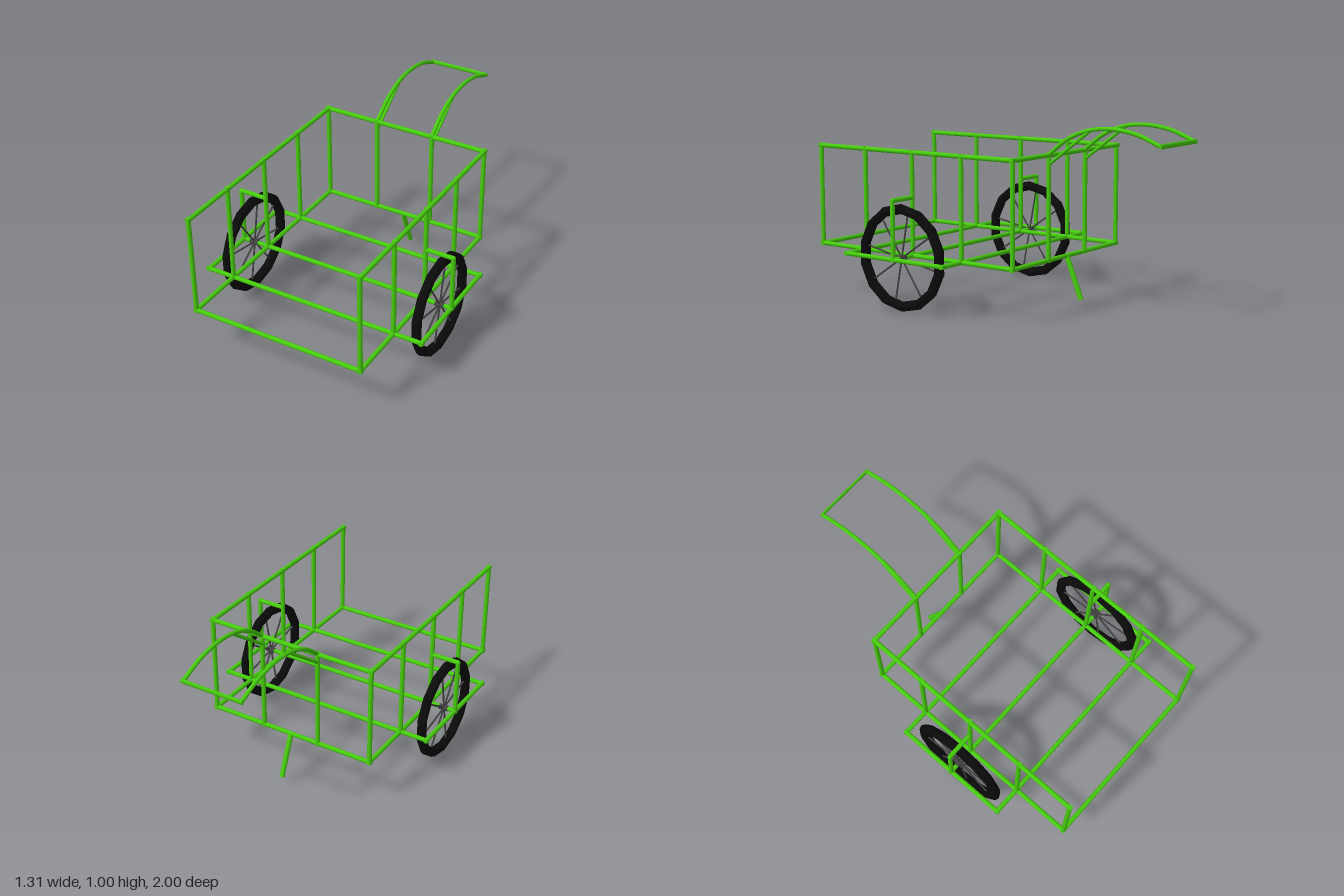
import * as THREE from 'three';

const green = new THREE.MeshStandardMaterial({ color: 0x46cc0e });
const black = new THREE.MeshStandardMaterial({ color: 0x0a0a0a, flatShading: true });
const grey = new THREE.MeshStandardMaterial({ color: 0x444444 });
const R = 0.0125; // frame tube radius

// Straight round bar between two points, lengthened by `extra` at both ends
function bar(parent, name, a, b, { radius = R, extra = R, material = green, sides = 12 } = {}) {
  const p = new THREE.Vector3(...a), q = new THREE.Vector3(...b);
  const dir = q.clone().sub(p);
  const mesh = new THREE.Mesh(
    new THREE.CylinderGeometry(radius, radius, dir.length() + 2 * extra, sides), material);
  mesh.position.copy(p).add(q).multiplyScalar(0.5);
  mesh.quaternion.setFromUnitVectors(new THREE.Vector3(0, 1, 0), dir.normalize());
  mesh.name = name;
  parent.add(mesh);
  return mesh;
}

function createWheel() {
  const wheel = new THREE.Group();
  wheel.name = 'wheel';
  // 14-sided tyre with a corner at the top
  const tyre = new THREE.Mesh(new THREE.TorusGeometry(0.261, 0.027, 8, 14), black);
  tyre.geometry.rotateZ(Math.PI / 2).rotateY(Math.PI / 2);
  tyre.name = 'tyre';
  wheel.add(tyre);
  bar(wheel, 'hub', [-0.025, 0, 0], [0.025, 0, 0], { radius: 0.016, extra: 0, material: grey });
  for (let i = 0; i < 8; i++) {
    const t = THREE.MathUtils.degToRad(34 + i * 45);
    bar(wheel, 'spoke', [0, 0, 0], [0, 0.25 * Math.sin(t), -0.25 * Math.cos(t)],
      { radius: 0.005, extra: 0, material: grey, sides: 6 });
  }
  return wheel;
}

export function createModel() {
  const cart = new THREE.Group();
  cart.name = 'handCart';
  const X = 0.485, OUT = 0.642, LOW = 0.288, TOP = 0.838;
  const FRONT = 0.987, BACK = -0.33, AXLE = 0.327;
  const HX = 0.17;

  // Floor: end rails and three long cross bars that also carry the wheels
  bar(cart, 'frontBottomRail', [-X, LOW, FRONT], [X, LOW, FRONT]);
  bar(cart, 'backBottomRail', [-X, LOW, BACK], [X, LOW, BACK]);
  bar(cart, 'backTopRail', [-X, TOP, BACK], [X, TOP, BACK]);
  for (const z of [-0.003, AXLE, 0.657]) bar(cart, 'crossBar', [-OUT, LOW, z], [OUT, LOW, z]);

  for (const s of [-1, 1]) {
    // Side frames
    for (const y of [LOW, TOP]) bar(cart, 'sideRail', [s * X, y, BACK], [s * X, y, FRONT]);
    for (const z of [BACK, -0.003, AXLE, 0.657, FRONT])
      bar(cart, 'sidePost', [s * X, LOW, z], [s * X, TOP, z]);
    bar(cart, 'backPost', [s * HX, LOW, BACK], [s * HX, TOP, BACK]);

    // Wheel carrier outside the box
    bar(cart, 'outerRail', [s * OUT, LOW, -0.003], [s * OUT, LOW, 0.657]);
    bar(cart, 'guardPost', [s * OUT, LOW, AXLE], [s * OUT, 0.6, AXLE], { extra: 0 });
    bar(cart, 'guardArm', [s * X, 0.6, AXLE], [s * OUT, 0.6, AXLE], { extra: 0 });
    const corner = new THREE.Mesh(new THREE.SphereGeometry(R, 12, 8), green);
    corner.position.set(s * OUT, 0.6, AXLE);
    corner.name = 'guardCorner';
    cart.add(corner);

    const wheel = createWheel();
    wheel.position.set(s * 0.575, 0.288, AXLE);
    cart.add(wheel);

    // Curved handle arm with its brace
    const path = new THREE.CatmullRomCurve3(
      [[0.842, -0.33], [0.93, -0.45], [0.977, -0.57], [0.991, -0.7], [0.972, -0.85], [0.919, -0.992]]
        .map(([y, z]) => new THREE.Vector3(s * HX, y, z)));
    const arm = new THREE.Mesh(new THREE.TubeGeometry(path, 32, 0.011, 10), green);
    arm.name = 'handleArm';
    cart.add(arm);
    bar(cart, 'handleBrace', [s * HX, 0.79, BACK], [s * HX, 0.98, -0.585], { radius: 0.009, extra: 0 });
  }

  // Grip across the handle ends, flattened front to back
  const grip = bar(cart, 'handleGrip', [-HX, 0.921, -0.993], [HX, 0.921, -0.993], { extra: 0.01 });
  grip.scale.z = 0.55;

  // Slanted rest leg
  bar(cart, 'restLeg', [0, LOW, BACK], [0, 0.06, -0.423], { radius: 0.014, extra: 0 });
  return cart;
}
